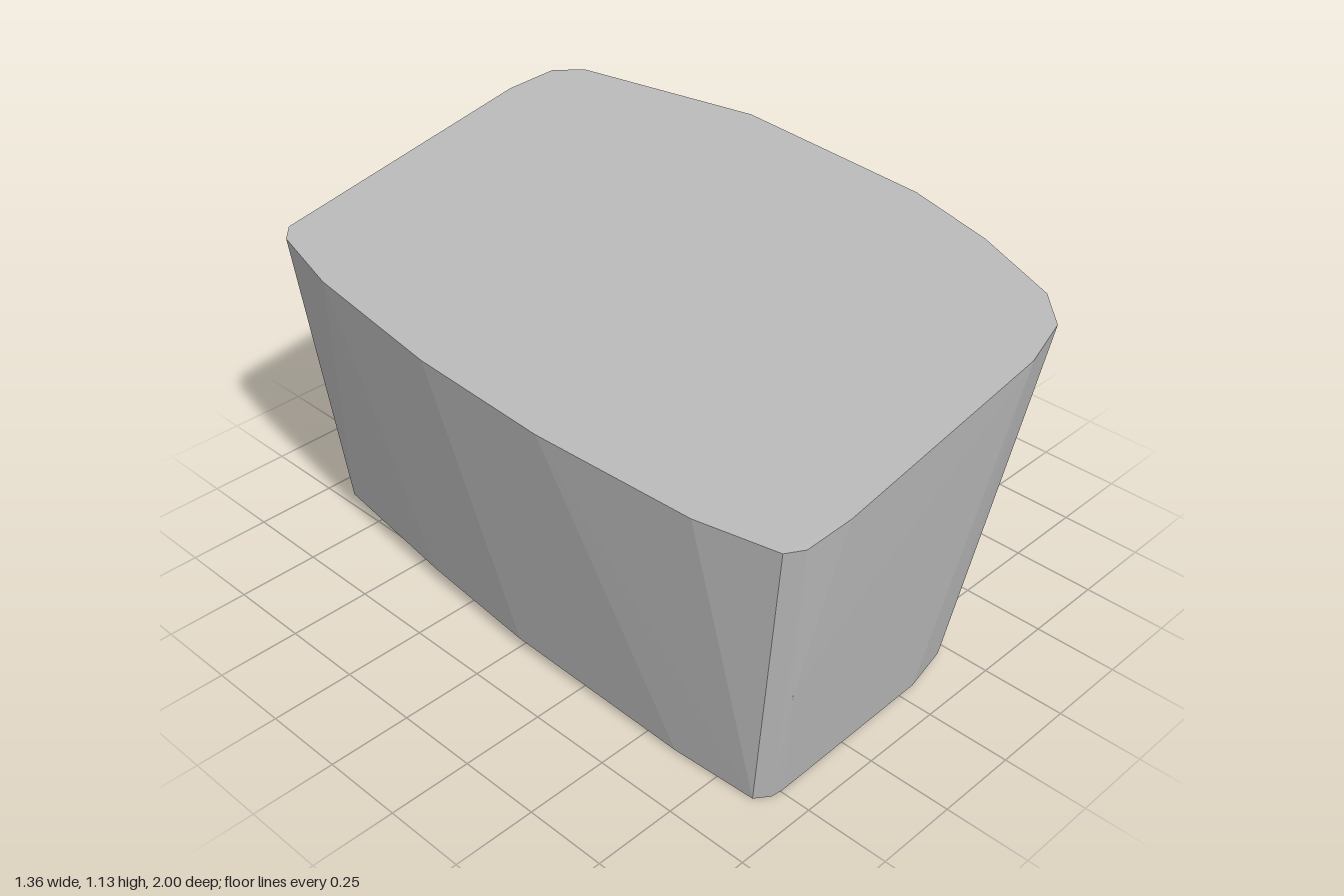
import * as THREE from 'three';
import { ConvexGeometry } from 'three/addons/geometries/ConvexGeometry.js';

export function createModel() {
  const group = new THREE.Group();
  const stone = new THREE.MeshStandardMaterial({ color: 0xb8b8b8 });
  stone.name = 'light grey';

  // Outlines as [x, z], running round from the back left corner
  const topOutline = [
    [-0.585, -0.94], [-0.545, -0.98], [0.33, -1], [0.48, -0.97], [0.545, -0.89],
    [0.68, -0.31], [0.68, 0.32], [0.63, 0.6], [0.545, 0.865], [0.46, 0.96],
    [0.31, 0.995], [-0.4, 1], [-0.54, 0.985], [-0.585, 0.95], [-0.64, 0.71],
    [-0.68, 0.21], [-0.68, -0.23], [-0.64, -0.7],
  ];
  const baseOutline = [
    [-0.51, -0.85], [-0.47, -0.89], [-0.32, -0.885], [0.05, -0.85], [0.26, -0.79],
    [0.41, -0.67], [0.49, -0.53], [0.54, -0.3], [0.555, 0.11], [0.52, 0.41],
    [0.41, 0.71], [0.3, 0.81], [0.2, 0.87], [0.05, 0.9], [-0.49, 0.905],
    [-0.53, 0.9], [-0.57, 0.87], [-0.588, 0.61], [-0.588, 0], [-0.56, -0.4],
  ];
  // Both ends are flat but tilted
  const topHeight = (x, z) => 0.995 + 0.163 * x - 0.055 * z;
  const baseHeight = (x, z) => 0.043 + 0.02 * x - 0.033 * z;
  const lift = (outline, height) => outline.map(([x, z]) => new THREE.Vector3(x, height(x, z), z));

  // Slight bulges on the left and front walls
  const bulges = [
    [0.632, 0.48, 0.05], [0.6, 0.57, 0.5], [0.6, 0.57, -0.45],
    [-0.52, 0.37, 0.947], [-0.3, 0.57, 0.97],
  ].map((p) => new THREE.Vector3(...p));

  // Faceted block that narrows towards the base
  const geometry = new ConvexGeometry([
    ...lift(topOutline, topHeight), ...lift(baseOutline, baseHeight), ...bulges,
  ]);
  const block = new THREE.Mesh(geometry, stone);
  block.name = 'facetedBlock';
  group.add(block);
  return group;
}
